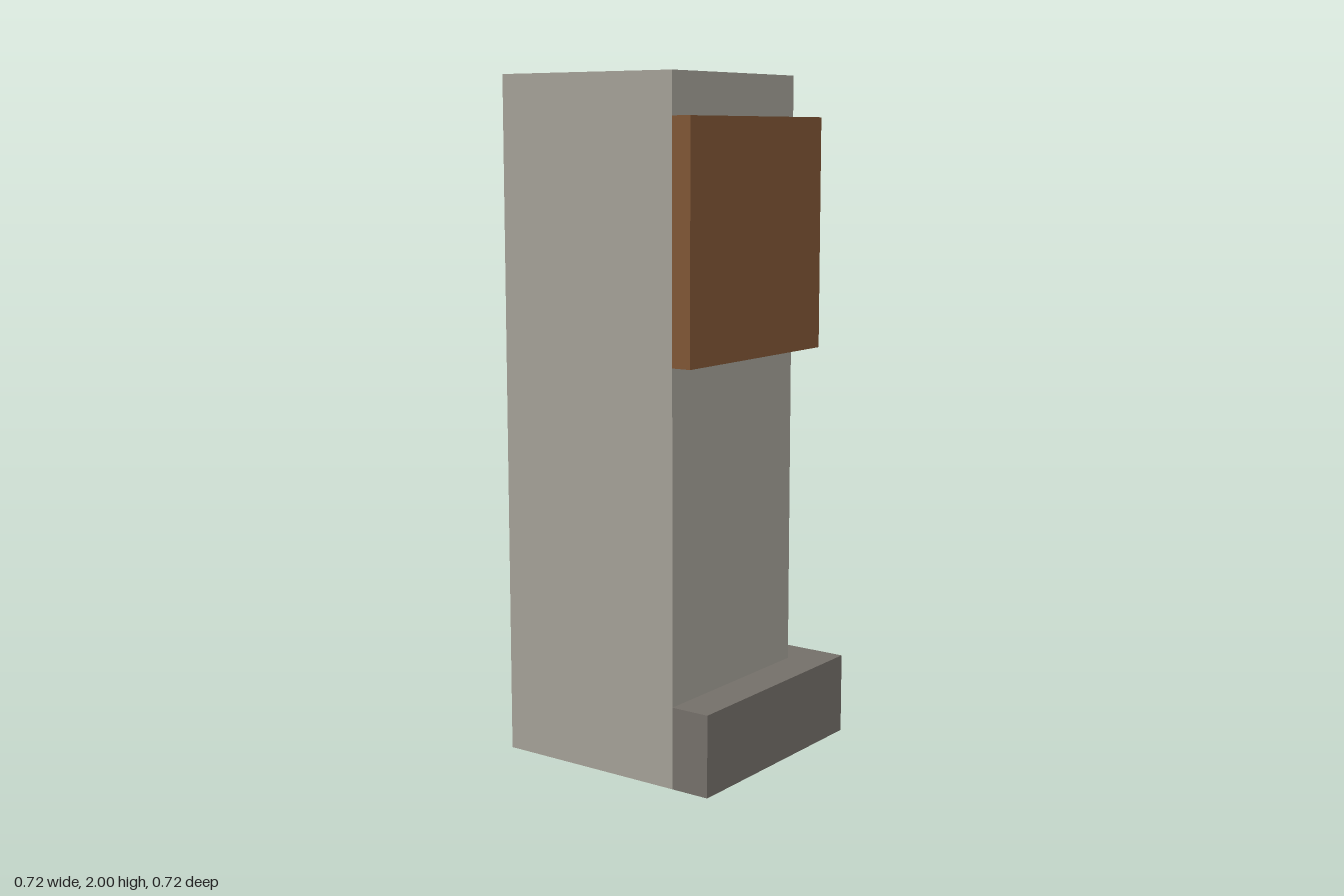
import * as THREE from 'three';

const BACK = -0.36; // flush left (x) and rear (z) planes
const FACE = 0.24; // exposed faces of the shaft

const stone = new THREE.MeshStandardMaterial({ name: 'paleStone', color: 0xa3a096 });
const darkStone = new THREE.MeshStandardMaterial({ name: 'darkStone', color: 0x746f69 });
const wood = new THREE.MeshStandardMaterial({ name: 'brownWood', color: 0x7f5535 });

// L-shaped collar wrapping the +x and +z faces of the shaft
function collar(name, outer, y, height, material) {
  const plan = [
    [BACK, FACE], [BACK, outer], [outer, outer],
    [outer, BACK], [FACE, BACK], [FACE, FACE],
  ];
  // plan is given as (x, z); shape y is -z so it lies flat after rotation
  const shape = new THREE.Shape(plan.map(([x, z]) => new THREE.Vector2(x, -z)));
  const geometry = new THREE.ExtrudeGeometry(shape, { depth: height, bevelEnabled: false });
  geometry.rotateX(-Math.PI / 2);
  const mesh = new THREE.Mesh(geometry, material);
  mesh.name = name;
  mesh.position.y = y;
  return mesh;
}

export function createModel() {
  const model = new THREE.Group();
  model.name = 'cornerPillar';

  // Full-height square shaft
  const size = FACE - BACK;
  const shaft = new THREE.Mesh(new THREE.BoxGeometry(size, 2, size), stone);
  shaft.name = 'shaft';
  shaft.position.set((FACE + BACK) / 2, 1, (FACE + BACK) / 2);
  model.add(shaft);

  // Plinth at the foot and wooden band near the top
  model.add(collar('plinth', 0.36, 0, 0.24, darkStone));
  model.add(collar('woodenBand', 0.3, 1.2, 0.68, wood));

  return model;
}
